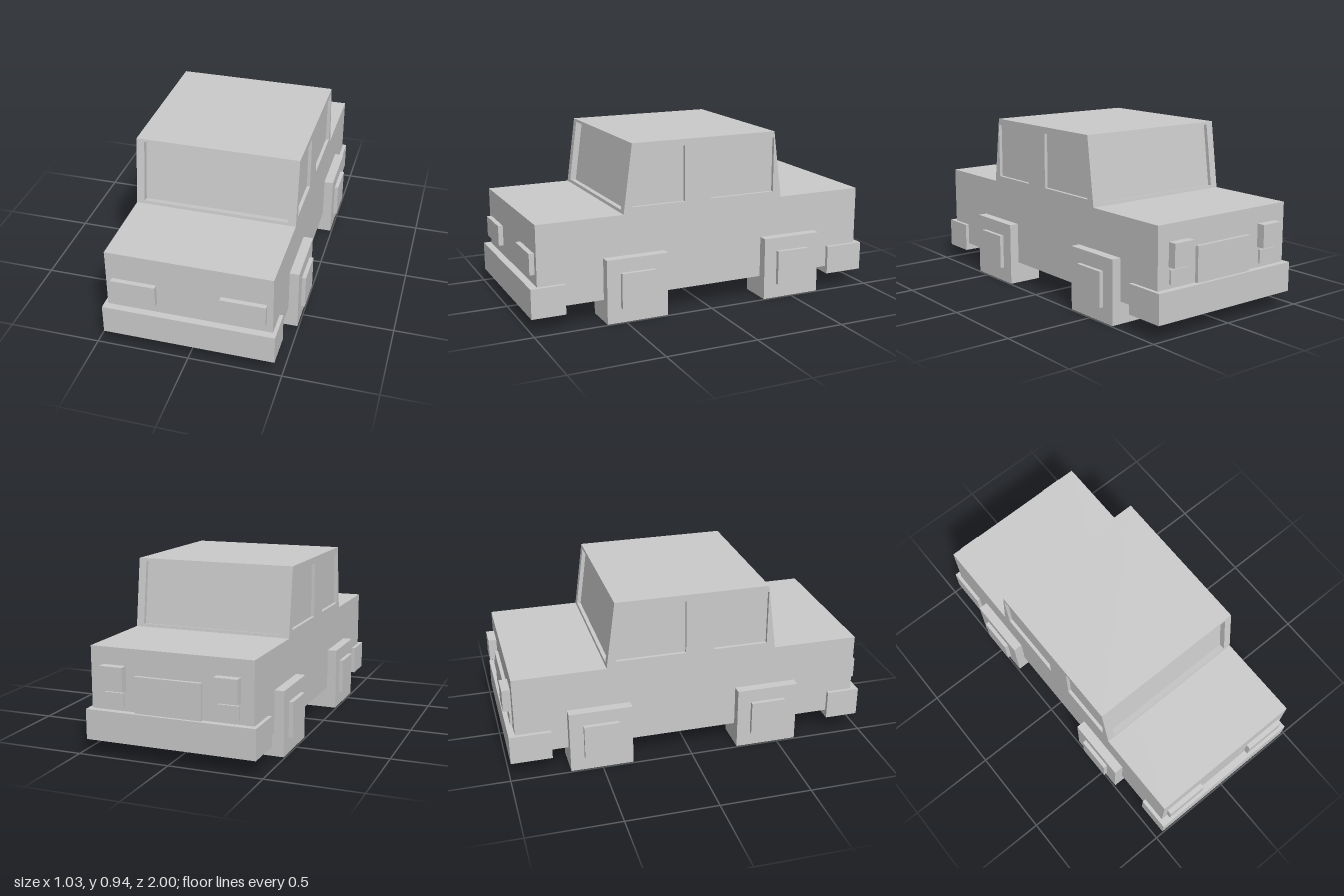
import * as THREE from 'three';

const material = new THREE.MeshStandardMaterial({ color: 0xcccccc, flatShading: true });

// Shape from [x, y] corners, with optional rectangular holes [x0, x1, y0, y1]
function makeShape(points, holes = []) {
  const shape = new THREE.Shape(points.map(([x, y]) => new THREE.Vector2(x, y)));
  for (const [x0, x1, y0, y1] of holes) {
    shape.holes.push(new THREE.Path([[x0, y0], [x0, y1], [x1, y1], [x1, y0]]
      .map(([x, y]) => new THREE.Vector2(x, y))));
  }
  return shape;
}

const extrude = (shape, depth) => new THREE.ExtrudeGeometry(shape, { depth, bevelEnabled: false });

// Side profile (z, y) extruded across x from x0 to x1
function sideExtrude(shape, x0, x1) {
  return extrude(shape, x1 - x0).rotateY(-Math.PI / 2).scale(1, 1, 1).translate(x1, 0, 0);
}

export function createModel() {
  const car = new THREE.Group();
  car.name = 'car';

  function add(name, geometry, parent = car) {
    const mesh = new THREE.Mesh(geometry, material);
    mesh.name = name;
    parent.add(mesh);
    return mesh;
  }
  // Box given by its limits on each axis
  function box(name, x0, x1, y0, y1, z0, z1) {
    const g = new THREE.BoxGeometry(x1 - x0, y1 - y0, z1 - z0);
    return add(name, g.translate((x0 + x1) / 2, (y0 + y1) / 2, (z0 + z1) / 2));
  }

  // Lower body and bumpers
  box('body', -0.44, 0.44, 0.12, 0.565, -0.955, 0.96);
  box('frontBumper', -0.46, 0.46, 0.08, 0.24, 0.815, 1);
  box('rearBumper', -0.46, 0.46, 0.08, 0.24, -0.99, -0.765);

  // Cabin: sloped ends, all panes set back from the outer frame
  const base = 0.565, top = 0.935, lean = 0.05;
  const front = 0.485, rear = -0.453;
  const frontDepth = 0.035, rearDepth = 0.022, sideDepth = 0.018;
  const half = 0.44, inner = half - sideDepth;
  const slope = (y) => lean * (y - base) / (top - base);
  const profile = (y0, y1, f = 0, r = 0) => [
    [rear + r + slope(y0), y0], [front - f - slope(y0), y0],
    [front - f - slope(y1), y1], [rear + r + slope(y1), y1],
  ];

  add('windowPanes', sideExtrude(
    makeShape(profile(base - 0.01, 0.925, frontDepth, rearDepth)), -inner, inner));
  add('roof', sideExtrude(makeShape(profile(0.92, top)), -half, half));

  const sideShape = makeShape(profile(base, top), [
    [0.135, 0.436, 0.6, 0.9],
    [-0.402, -0.02, 0.6, 0.9],
  ]);
  add('leftWindowFrame', sideExtrude(sideShape, inner, half));
  add('rightWindowFrame', sideExtrude(sideShape, -half, -inner));

  // Windscreen and rear window frames, tilted to the cabin slope
  const height = Math.hypot(top - base, lean);
  const tilt = Math.atan2(lean, top - base);
  const frameShape = makeShape(
    [[-inner, 0], [inner, 0], [inner, height], [-inner, height]],
    [[-0.397, 0.397, 0.017, height - 0.015]]);
  for (const [name, z, depth, turn] of [
    ['windscreenFrame', front, frontDepth, 0],
    ['rearWindowFrame', rear, rearDepth, Math.PI],
  ]) {
    const frame = add(name, extrude(frameShape, depth).translate(0, 0, -depth));
    frame.position.set(0, base, z);
    frame.rotation.set(-tilt, turn, 0, 'YXZ');
  }

  // Lights and wheels, mirrored left and right
  for (const s of [1, -1]) {
    const side = s > 0 ? 'left' : 'right';
    const pair = (name, a, b, ...rest) =>
      box(side + name, Math.min(s * a, s * b), Math.max(s * a, s * b), ...rest);

    pair('Headlight', 0.17, 0.408, 0.297, 0.41, 0.95, 0.987);
    pair('TailLight', 0.245, 0.37, 0.35, 0.475, -1, -0.95);
    pair('ReverseLight', 0.255, 0.365, 0.262, 0.335, -0.968, -0.95);

    for (const [end, z] of [['Front', 0.433], ['Rear', -0.502]]) {
      const zc = end === 'Front' ? z - s * 0.003 : z;
      pair(end + 'Wheel', 0.3, 0.492, 0, 0.347, zc - 0.172, zc + 0.172);
      pair(end + 'Hubcap', 0.48, 0.514, 0.08, 0.272, zc - 0.096, zc + 0.096);
    }
  }
  box('rearPlate', -0.17, 0.193, 0.24, 0.43, -0.974, -0.95);

  return car;
}
